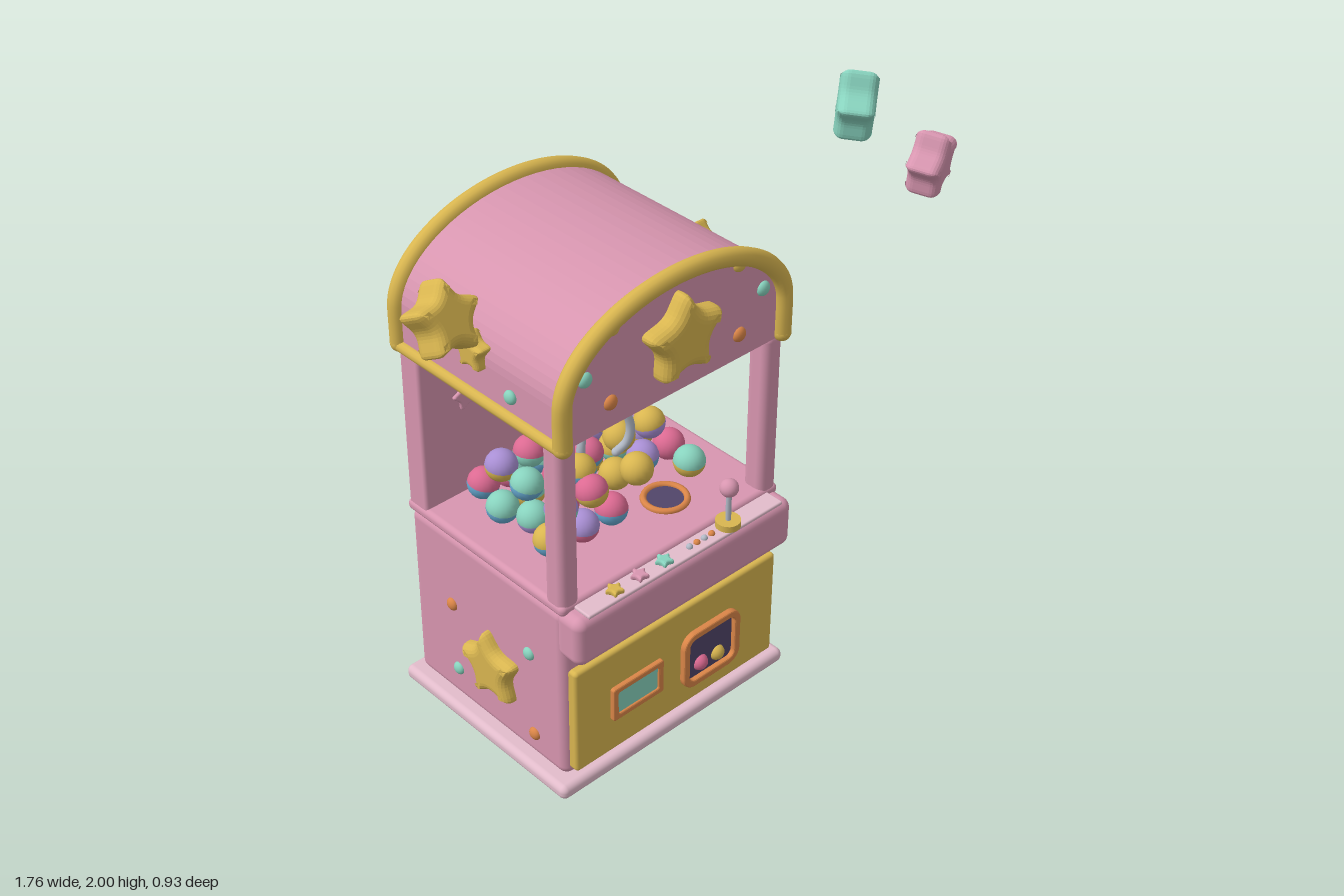
import * as THREE from 'three';
import { RoundedBoxGeometry } from 'three/addons/geometries/RoundedBoxGeometry.js';

const mat = (name, color) => Object.assign(new THREE.MeshStandardMaterial({ color }), { name });
const pink = mat('pink', 0xd896b0), gold = mat('gold', 0xd9b650), mint = mat('mint', 0x88d3be);
const orange = mat('orange', 0xdb8648), pale = mat('palePink', 0xe2bccb), dark = mat('darkPurple', 0x51456a);
const grey = mat('grey', 0xb2b9c6), hot = mat('hotPink', 0xdc6a92), lilac = mat('lilac', 0xa98fd4), blue = mat('blue', 0x66a8d0);

function add(parent, name, geo, material, x = 0, y = 0, z = 0) {
  const m = new THREE.Mesh(geo, material);
  m.name = name;
  m.position.set(x, y, z);
  parent.add(m);
  return m;
}
const rbox = (w, h, d, r) => new RoundedBoxGeometry(w, h, d, 4, r);
const cyl = (r, h, n = 20) => new THREE.CylinderGeometry(r, r, h, n);
const ball = (r) => new THREE.SphereGeometry(r, 20, 14);

// Rounded five-pointed outline
function starShape(R) {
  const p = [];
  for (let i = 0; i < 10; i++) {
    const a = Math.PI / 2 + i * Math.PI / 5, r = i % 2 ? R * 0.56 : R;
    p.push(new THREE.Vector2(Math.cos(a) * r, Math.sin(a) * r));
  }
  const s = new THREE.Shape();
  for (let i = 0; i < 10; i++) {
    const k = i % 2 ? 0.3 : 0.38;
    const a = p[i].clone().lerp(p[(i + 9) % 10], k), b = p[i].clone().lerp(p[(i + 1) % 10], k);
    if (i) s.lineTo(a.x, a.y); else s.moveTo(a.x, a.y);
    s.quadraticCurveTo(p[i].x, p[i].y, b.x, b.y);
  }
  s.closePath();
  return s;
}
// Puffy star of radius R and total thickness t, centred
function starGeo(R, t) {
  const b = Math.min(t * 0.45, R * 0.25);
  const g = new THREE.ExtrudeGeometry(starShape(R * 1.06), {
    depth: t - 2 * b, bevelThickness: b, bevelSize: b, bevelOffset: -b, bevelSegments: 5, curveSegments: 5 });
  return g.translate(0, 0, b - t / 2);
}
// Rounded rectangle outline
function rectPath(w, h, r, P = THREE.Shape) {
  const s = new P(), x = w / 2, y = h / 2;
  s.absarc(x - r, y - r, r, 0, Math.PI / 2);
  s.absarc(-x + r, y - r, r, Math.PI / 2, Math.PI);
  s.absarc(-x + r, -y + r, r, Math.PI, Math.PI * 1.5);
  s.absarc(x - r, -y + r, r, Math.PI * 1.5, Math.PI * 2);
  s.closePath();
  return s;
}
function frameGeo(w, h, r, t, depth) {
  const s = rectPath(w, h, r);
  s.holes.push(rectPath(w - 2 * t, h - 2 * t, Math.max(r - t, 0.006), THREE.Path));
  return new THREE.ExtrudeGeometry(s, { depth: depth - 0.006, bevelThickness: 0.006, bevelSize: 0.004, bevelOffset: -0.004, bevelSegments: 2 });
}
// Arch points from one foot over the top to the other
function archPoints(a, b, foot, spring) {
  const p = [new THREE.Vector3(a, foot, 0), new THREE.Vector3(a, (foot + spring) / 2, 0)];
  for (let i = 0; i <= 32; i++) {
    const t = i / 32 * Math.PI;
    p.push(new THREE.Vector3(Math.cos(t) * a, spring + Math.sin(t) * b, 0));
  }
  p.push(new THREE.Vector3(-a, (foot + spring) / 2, 0), new THREE.Vector3(-a, foot, 0));
  return p;
}

function addCabinet(g) {
  add(g, 'basePlate', rbox(0.87, 0.046, 0.707, 0.02), pale, 0, 0.03, 0);
  add(g, 'lowerBody', rbox(0.8, 0.59, 0.645, 0.03), pink, 0, 0.35, 0);
  add(g, 'floorSlab', rbox(0.81, 0.036, 0.655, 0.016), pink, 0, 0.655, 0);
  add(g, 'console', rbox(0.805, 0.158, 0.1, 0.03), pink, 0, 0.574, 0.34);
  add(g, 'frontPanel', rbox(0.765, 0.36, 0.04, 0.012), gold, 0, 0.265, 0.33);
  for (const s of [-1, 1]) add(g, 'frontPost', rbox(0.066, 0.54, 0.075, 0.024), pink, s * 0.369, 0.915, 0.287);
  add(g, 'backWall', rbox(0.8, 0.54, 0.08, 0.012), pink, 0, 0.915, -0.282);
  // Screen and prize chute
  add(g, 'screenFrame', frameGeo(0.19, 0.116, 0.008, 0.02, 0.018), orange, -0.162, 0.263, 0.346);
  add(g, 'screen', new THREE.BoxGeometry(0.152, 0.08, 0.008), mint, -0.162, 0.263, 0.354);
  add(g, 'chuteFrame', frameGeo(0.222, 0.196, 0.045, 0.023, 0.022), orange, 0.12, 0.248, 0.346);
  add(g, 'chuteOpening', new THREE.BoxGeometry(0.182, 0.156, 0.006), dark, 0.12, 0.248, 0.35);
  add(g, 'chuteBall', ball(0.026), hot, 0.085, 0.213, 0.348);
  add(g, 'chuteBall', ball(0.025), gold, 0.152, 0.21, 0.348);
  // Back wall stars
  for (const [x, y, R, m] of [[-0.245, 0.995, 0.05, pink], [0.19, 1.05, 0.035, pink], [0.06, 0.985, 0.032, mint]])
    add(g, 'wallStar', starGeo(R, 0.014), m, x, y, -0.238).rotation.z = 0.2;
  // Side stars and studs, mirrored
  for (const s of [-1, 1]) {
    const side = new THREE.Group();
    side.name = 'sideDecor';
    side.rotation.y = s * Math.PI / 2;
    g.add(side);
    add(side, 'sideStar', starGeo(0.122, 0.07), gold, -s * 0.03, 0.285, 0.405).rotation.z = s * -0.2;
    add(side, 'roofStar', starGeo(0.06, 0.05), gold, 0, 1.325, 0.4).rotation.z = s * -0.1;
    const studs = [[0.18, 0.425, mint], [-0.15, 0.395, orange], [-0.135, 0.165, mint], [0.195, 0.14, orange], [0.14, 1.25, mint]];
    for (const [z, y, m] of studs) add(side, 'stud', ball(0.02), m, -s * z, y, 0.4).scale.z = 0.7;
  }
}

function addRoof(g) {
  const shape = new THREE.Shape(archPoints(0.395, 0.238, 1.172, 1.295).map(p => new THREE.Vector2(p.x, p.y)));
  add(g, 'roof', new THREE.ExtrudeGeometry(shape, { depth: 0.645, bevelEnabled: false }), pink, 0, 0, -0.3225);
  const arch = new THREE.CatmullRomCurve3(archPoints(0.39, 0.235, 1.185, 1.295));
  for (const z of [0.325, -0.328]) {
    add(g, 'archTrim', new THREE.TubeGeometry(arch, 80, 0.026, 12), gold, 0, 0, z);
    for (const s of [-1, 1]) add(g, 'trimEnd', ball(0.026), gold, s * 0.39, 1.185, z);
  }
  for (const s of [-1, 1]) add(g, 'sideTrim', cyl(0.018, 0.65, 12), gold, s * 0.395, 1.181, 0).rotation.x = Math.PI / 2;
  // Header star and studs
  add(g, 'headerStar', starGeo(0.135, 0.085), gold, 0, 1.352, 0.338);
  for (const s of [-1, 1])
    for (const [x, y, m] of [[0.312, 1.353, mint], [0.228, 1.247, orange], [0.22, 1.465, gold]])
      add(g, 'headerStud', ball(0.022), m, s * x, y, 0.322).scale.z = 0.7;
}

function addControls(g) {
  add(g, 'controlPlate', rbox(0.725, 0.012, 0.075, 0.005), pale, 0, 0.656, 0.348);
  [gold, pink, mint].forEach((m, i) => {
    add(g, 'starButton', starGeo(0.028, 0.018), m, -0.245 + i * 0.09, 0.668, 0.355).rotation.x = -Math.PI / 2;
  });
  for (let i = 0; i < 4; i++) add(g, 'smallButton', ball(0.01), i % 2 ? orange : grey, 0.03 + i * 0.028, 0.663, 0.355);
  add(g, 'joystickBase', cyl(0.036, 0.02), gold, 0.175, 0.672, 0.357);
  add(g, 'joystickRod', cyl(0.008, 0.11, 10), grey, 0.175, 0.73, 0.357);
  add(g, 'joystickKnob', ball(0.027), pink, 0.175, 0.79, 0.357);
  // Prize hole in the floor
  add(g, 'prizeHole', cyl(0.062, 0.006, 28), dark, 0.12, 0.674, 0.165);
  add(g, 'prizeHoleRing', new THREE.TorusGeometry(0.062, 0.01, 8, 28), orange, 0.12, 0.676, 0.165).rotation.x = Math.PI / 2;
}

function addClaw(g) {
  // Gantry rails
  add(g, 'crossRail', cyl(0.01, 0.68, 10), grey, 0, 1.153, 0).rotation.z = Math.PI / 2;
  for (const s of [-1, 1]) add(g, 'sideRail', cyl(0.01, 0.5, 10), grey, s * 0.325, 1.155, 0).rotation.x = Math.PI / 2;
  add(g, 'trolley', rbox(0.128, 0.032, 0.095, 0.012), gold, 0, 1.133, 0);
  add(g, 'winch', cyl(0.028, 0.024), gold, 0, 1.112, 0);
  add(g, 'cable', cyl(0.006, 0.1, 8), grey, 0, 1.06, 0);
  add(g, 'clawCollar', cyl(0.016, 0.025, 14), gold, 0, 1.02, 0);
  add(g, 'clawHub', ball(0.037), pink, 0, 0.987, 0);
  const finger = new THREE.CatmullRomCurve3([[0.02, 0.985], [0.065, 0.965], [0.095, 0.92], [0.106, 0.87], [0.095, 0.825], [0.065, 0.795]]
    .map(([x, y]) => new THREE.Vector3(x, y, 0)));
  for (let i = 0; i < 3; i++) {
    const a = Math.PI / 2 + i * Math.PI * 2 / 3;
    add(g, 'clawFinger', new THREE.TubeGeometry(finger, 24, 0.013, 10), grey).rotation.y = a;
    add(g, 'fingerTip', ball(0.013), grey, 0.065 * Math.cos(a), 0.795, -0.065 * Math.sin(a));
  }
}

// Two-tone capsules heaped in layers
function addCapsules(g) {
  const R = 0.047, tops = [gold, hot, mint, lilac, gold, mint, hot], bottoms = [blue, gold, blue, gold, lilac, hot, mint, gold];
  const topGeo = new THREE.SphereGeometry(R, 18, 8, 0, Math.PI * 2, 0, Math.PI / 2);
  const botGeo = new THREE.SphereGeometry(R, 18, 8, 0, Math.PI * 2, Math.PI / 2, Math.PI / 2);
  let n = 0, seed = 7;
  const rnd = () => (seed = (seed * 16807) % 2147483647) / 2147483647 - 0.5;
  const put = (x, y, z) => {
    const c = new THREE.Group();
    c.name = 'capsule';
    c.position.set(x + rnd() * 0.015, y + rnd() * 0.012, z + rnd() * 0.015);
    c.rotation.set(rnd() * 0.4, 0, rnd() * 0.4);
    add(c, 'capsuleTop', topGeo, tops[(n * 3) % 7]);
    add(c, 'capsuleBottom', botGeo, bottoms[(n * 5) % 8]);
    g.add(c);
    n++;
  };
  for (let j = 0; j < 4; j++)
    for (let i = 0; i < 6; i++) {
      const x = -0.28 + i * 0.102 + (j % 2) * 0.02, z = 0.15 - j * 0.104;
      if (Math.hypot(x - 0.12, z - 0.165) > 0.11) put(x, 0.734, z);
    }
  for (let j = 0; j < 3; j++)
    for (let i = 0; i < 5; i++) {
      const x = -0.24 + i * 0.112, z = 0.13 - j * 0.125;
      if (Math.hypot(x - 0.12, z - 0.165) > 0.15) put(x, 0.812, z);
    }
  put(-0.12, 0.845, 0.07);
  put(0.0, 0.842, 0.17);
}

export function createModel() {
  const root = new THREE.Group();
  root.name = 'clawMachine';
  const machine = new THREE.Group();
  machine.name = 'machine';
  machine.position.set(-0.025, 0, -0.105);
  root.add(machine);
  addCabinet(machine);
  addRoof(machine);
  addControls(machine);
  addClaw(machine);
  addCapsules(machine);
  // Floating stars
  for (const [m, x, y, z, rx, ry, rz] of [
    [gold, -0.795, 1.75, 0.262, -0.5, 0.1, -0.12],
    [mint, 0.415, 1.91, 0.383, 0.1, 0.7, 0.1],
    [pink, 0.785, 1.59, 0.335, 0.1, 0.4, 0.12]])
    add(root, 'floatingStar', starGeo(0.098, 0.095), m, x, y, z).rotation.set(rx, ry, rz);
  return root;
}
